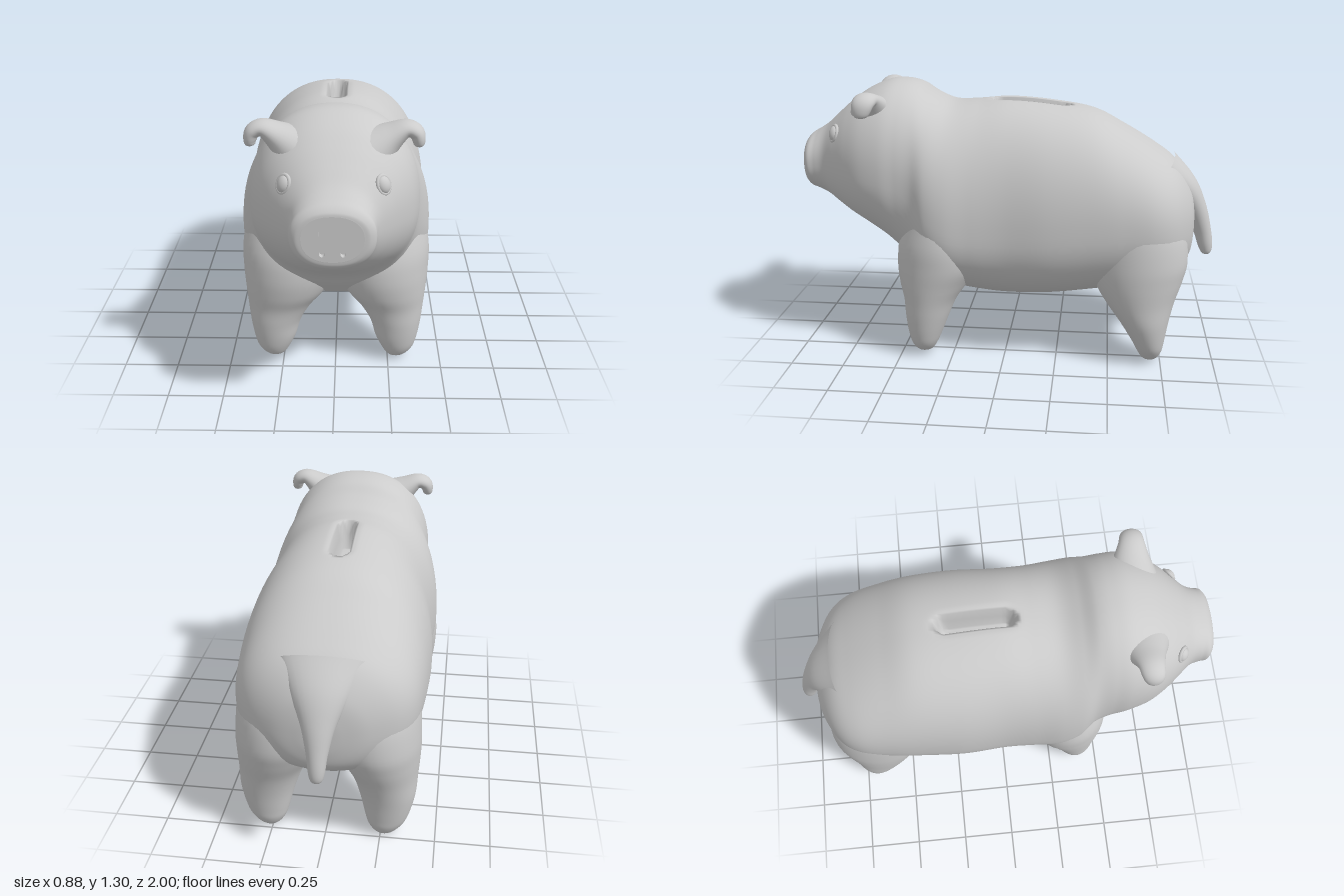
import * as THREE from 'three';

const material = new THREE.MeshStandardMaterial({ color: 0xcccccc });
const { smoothstep } = THREE.MathUtils;

// Catmull-Rom interpolation of one number
function spline(a, b, c, d, t) {
  const cubic = 3 * (b - c) + d - a;
  const square = 2 * a - 5 * b + 4 * c - d;
  return b + 0.5 * t * (c - a + t * (square + t * cubic));
}

// Smooth rows between key rows of numbers
function resample(keys, steps) {
  const rows = [];
  const last = keys.length - 1;
  for (let k = 0; k < last; k++) {
    const a = keys[Math.max(k - 1, 0)], b = keys[k], c = keys[k + 1], d = keys[Math.min(k + 2, last)];
    for (let s = 0; s < steps; s++) {
      rows.push(b.map((v, i) => spline(a[i], v, c[i], d[i], s / steps)));
    }
  }
  rows.push(keys[last]);
  return rows;
}

// Smooth skin over closed rings of points
function loft(rings) {
  const n = rings[0].length, index = [];
  for (let j = 0; j < rings.length - 1; j++) {
    for (let i = 0; i < n; i++) {
      const a = j * n + i, b = j * n + (i + 1) % n;
      index.push(a, a + n, b, b, a + n, b + n);
    }
  }
  const geometry = new THREE.BufferGeometry();
  geometry.setAttribute('position', new THREE.Float32BufferAttribute(rings.flat().flatMap(p => p.toArray()), 3));
  geometry.setIndex(index);
  geometry.computeVertexNormals();
  return geometry;
}

function part(name, geometry) {
  const mesh = new THREE.Mesh(geometry, material);
  mesh.name = name;
  return mesh;
}

// Body and head sections: z, top, bottom, half width, height of widest point
const BODY = [
  [-0.9, 0.62, 0.62, 0, 0.62], [-0.895, 0.72, 0.53, 0.1, 0.63], [-0.87, 0.82, 0.45, 0.21, 0.64],
  [-0.8, 0.925, 0.39, 0.33, 0.65], [-0.7, 1.0, 0.35, 0.395, 0.66], [-0.55, 1.09, 0.315, 0.42, 0.66],
  [-0.4, 1.165, 0.29, 0.43, 0.65], [-0.2, 1.2, 0.265, 0.435, 0.63], [0, 1.215, 0.258, 0.42, 0.62],
  [0.15, 1.203, 0.275, 0.425, 0.62], [0.27, 1.2, 0.3, 0.435, 0.64], [0.36, 1.235, 0.33, 0.42, 0.7],
  [0.43, 1.28, 0.38, 0.38, 0.8], [0.5, 1.298, 0.44, 0.368, 0.86], [0.58, 1.295, 0.52, 0.365, 0.88],
  [0.68, 1.255, 0.59, 0.34, 0.89], [0.76, 1.2, 0.635, 0.295, 0.9], [0.83, 1.14, 0.68, 0.24, 0.9],
  [0.89, 1.085, 0.72, 0.19, 0.9], [0.94, 1.05, 0.745, 0.175, 0.9], [0.975, 1.03, 0.76, 0.172, 0.9],
  [0.995, 1.01, 0.78, 0.15, 0.9], [1, 0.995, 0.8, 0.125, 0.9],
];

// One rounded section, with points packed closer along the back for the slot
function bodyRing([z, top, bottom, width, mid]) {
  const ring = [], n = 120, power = 2 / 2.25;
  for (let i = 0; i < n; i++) {
    const t = 2 * Math.PI * i / n, a = t - 0.7 * Math.sin(t);
    const s = Math.sin(a), c = Math.cos(a);
    const x = width * Math.sign(s) * Math.abs(s) ** power;
    let y = mid + (c > 0 ? top - mid : bottom - mid) * Math.abs(c) ** power;
    // Coin slot: a sunken capsule in the back
    if (y > 1) {
      const d = Math.hypot(x, Math.max(Math.abs(z + 0.1) - 0.135, 0)) - 0.042;
      y -= 0.13 * (1 - smoothstep(d, -0.014, 0.004)) + 0.006 * (1 - smoothstep(d, 0, 0.035));
    }
    ring.push(new THREE.Vector3(x, y, z));
  }
  return ring;
}

// Leg sections: y, centre x, radius x, centre z, radius z
const FRONT_LEG = [
  [0.01, 0.29, 0, 0.39, 0], [0.02, 0.29, 0.042, 0.39, 0.038], [0.06, 0.295, 0.075, 0.39, 0.064],
  [0.12, 0.29, 0.1, 0.385, 0.085], [0.2, 0.285, 0.12, 0.375, 0.106], [0.28, 0.265, 0.15, 0.362, 0.128],
  [0.36, 0.235, 0.19, 0.345, 0.168], [0.46, 0.215, 0.22, 0.32, 0.205], [0.58, 0.2, 0.235, 0.31, 0.2],
  [0.75, 0.18, 0.22, 0.3, 0.14],
];
const REAR_LEG = [
  [0, 0.265, 0, -0.7, 0], [0.01, 0.265, 0.042, -0.7, 0.036], [0.05, 0.27, 0.078, -0.698, 0.06],
  [0.1, 0.275, 0.1, -0.69, 0.077], [0.2, 0.275, 0.127, -0.667, 0.116], [0.3, 0.26, 0.15, -0.642, 0.165],
  [0.4, 0.235, 0.182, -0.63, 0.212], [0.5, 0.215, 0.203, -0.625, 0.238], [0.65, 0.2, 0.205, -0.605, 0.235],
  [0.8, 0.18, 0.19, -0.57, 0.18],
];

function leg(keys, side) {
  const rings = resample(keys, 5).map(([y, cx, rx, cz, rz]) => Array.from({ length: 40 }, (_, i) => {
    const a = 2 * Math.PI * i / 40;
    return new THREE.Vector3(side * cx - rx * Math.sin(a), y, cz + rz * Math.cos(a));
  }));
  return loft(rings);
}

// Tapered tube along a planar path: x, y, z, thickness, breadth along the axis
function taper(keys, axis) {
  const rows = resample(keys, 6);
  const at = j => new THREE.Vector3(...rows[Math.min(Math.max(j, 0), rows.length - 1)].slice(0, 3));
  const rings = rows.map(([, , , thick, broad], j) => {
    const tangent = at(j + 1).sub(at(j - 1)).normalize();
    const normal = axis.clone().cross(tangent);
    return Array.from({ length: 28 }, (_, i) => {
      const a = 2 * Math.PI * i / 28;
      return at(j).addScaledVector(normal, thick * Math.cos(a)).addScaledVector(axis, -broad * Math.sin(a));
    });
  });
  return loft(rings);
}

const EAR = [
  [0.17, 1.15, 0.63, 0.1, 0.12], [0.235, 1.2, 0.63, 0.06, 0.085], [0.295, 1.235, 0.635, 0.037, 0.06],
  [0.335, 1.222, 0.64, 0.033, 0.052], [0.347, 1.19, 0.645, 0.028, 0.042], [0.345, 1.168, 0.648, 0.02, 0.028],
  [0.344, 1.16, 0.65, 0, 0],
];
const TAIL = [
  [0, 0.9, -0.74, 0.08, 0.2], [0, 0.8, -0.84, 0.07, 0.13], [0, 0.69, -0.905, 0.055, 0.075],
  [0, 0.58, -0.945, 0.043, 0.047], [0, 0.5, -0.965, 0.035, 0.036], [0, 0.46, -0.972, 0.022, 0.024],
  [0, 0.45, -0.973, 0, 0],
];

// Flat snout plate with two upright nostril slots and a floor behind them
function snout() {
  const outline = bodyRing(BODY[BODY.length - 1]).map(p => new THREE.Vector2(p.x, p.y));
  const plate = new THREE.Shape(outline);
  for (const side of [-1, 1]) {
    const hole = new THREE.Path();
    hole.absarc(side * 0.042, 0.93, 0.011, 0, Math.PI, false);
    hole.absarc(side * 0.042, 0.835, 0.011, Math.PI, 2 * Math.PI, false);
    hole.closePath();
    plate.holes.push(hole);
  }
  const group = new THREE.Group();
  group.name = 'snout';
  const front = part('snoutPlate', new THREE.ExtrudeGeometry(plate, { depth: 0.03, bevelEnabled: false }));
  front.position.z = 0.97;
  const floor = part('nostrilFloor', new THREE.ShapeGeometry(new THREE.Shape(outline)));
  floor.position.z = 0.975;
  group.add(front, floor);
  return group;
}

// Oval eyeball set in a thin lid
function eye(side) {
  const group = new THREE.Group();
  group.name = side > 0 ? 'leftEye' : 'rightEye';
  const ball = part('eyeball', new THREE.SphereGeometry(1, 28, 18));
  ball.scale.set(0.03, 0.037, 0.022);
  const lid = part('eyelid', new THREE.TorusGeometry(0.034, 0.008, 10, 36));
  lid.scale.set(0.9, 1.1, 1);
  group.add(ball, lid);
  group.position.set(side * 0.2, 1.06, 0.822);
  group.rotation.set(-0.3, side * 0.7, side * 0.2, 'YXZ');
  return group;
}

export function createModel() {
  const model = new THREE.Group();
  model.name = 'piggyBank';
  model.add(part('body', loft(resample(BODY, 9).map(bodyRing))), snout());
  model.add(part('tail', taper(TAIL, new THREE.Vector3(1, 0, 0))));
  for (const side of [1, -1]) {
    const label = side > 0 ? 'left' : 'right';
    model.add(part(label + 'FrontLeg', leg(FRONT_LEG, side)));
    model.add(part(label + 'RearLeg', leg(REAR_LEG, side)));
    const ear = EAR.map(([x, ...rest]) => [side * x, ...rest]);
    model.add(part(label + 'Ear', taper(ear, new THREE.Vector3(0, 0, 1))));
    model.add(eye(side));
  }
  return model;
}
